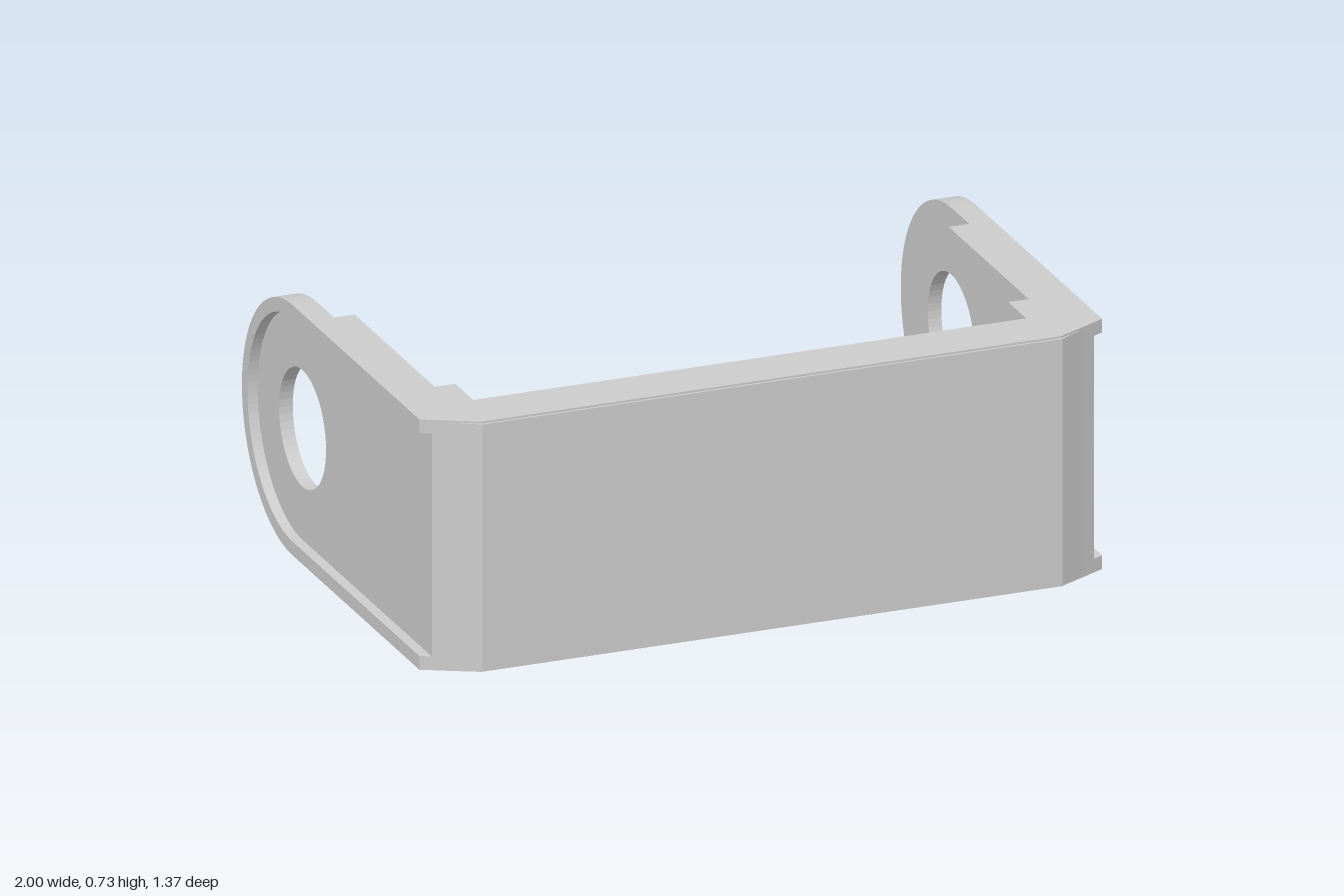
import * as THREE from 'three';

const H = 0.73, MID = H / 2, RIM = 0.04; // height, mid height, rim width
const PIVOT = 0.32;                      // pivot distance behind the centre
const JOIN = 0.52;                       // z where arms meet the front plate

export function createModel() {
  const group = new THREE.Group();
  const material = new THREE.MeshStandardMaterial({ color: 0xcccccc });

  const add = (name, geometry) => {
    const mesh = new THREE.Mesh(geometry, material);
    mesh.name = name;
    group.add(mesh);
  };
  const extrude = (shape, depth) =>
    new THREE.ExtrudeGeometry(shape, { depth, bevelEnabled: false, curveSegments: 24 });

  // Plan outline given as [x, z] for the +x half, mirrored and raised from y0 to y1
  const slab = (name, half, y0, y1) => {
    const mirrored = half.map(([x, z]) => [-x, z]).reverse();
    const pts = [...half, ...mirrored].map(([x, z]) => new THREE.Vector2(x, -z));
    add(name, extrude(new THREE.Shape(pts), y1 - y0).rotateX(-Math.PI / 2).translate(0, y0, 0));
  };

  // Side outline drawn in (-z, y), extruded from x0 to x1 on both sides
  const arms = (name, shape, x0, x1) => {
    for (const [side, start] of [['left', x0], ['right', -x1]]) {
      add(side + name, extrude(shape, x1 - x0).rotateY(Math.PI / 2).translate(start, 0, 0));
    }
  };

  // Front plate: top and bottom rims, and the recessed middle band
  const rim = [[1, JOIN], [1, 0.6], [0.93, 0.637], [0.85, 0.678]];
  slab('frontBottomRim', rim, 0, RIM);
  slab('frontTopRim', rim, H - RIM, H);
  slab('frontPanel', [
    [0.81, 0.63], [0.81, JOIN], [0.97, JOIN], [0.97, 0.616], [0.93, 0.637], [0.85, 0.678],
  ], RIM, H - RIM);
  // Slightly inset outer skin
  slab('frontSkin', [[0.93, 0.637], [0.85, 0.685]], 0.006, H - 0.006);

  // Arm web with rounded end and pivot hole
  const web = new THREE.Shape();
  web.moveTo(-JOIN, 0);
  web.lineTo(PIVOT, 0);
  web.absarc(PIVOT, MID, MID, -Math.PI / 2, Math.PI / 2, false);
  web.lineTo(-JOIN, H);
  web.holes.push(new THREE.Path().absarc(PIVOT, MID, 0.17, 0, Math.PI * 2, true));
  arms('ArmWeb', web, 0.93, 0.97);

  // Raised outer rim running around the arm
  const edge = new THREE.Shape();
  edge.moveTo(-JOIN, 0);
  edge.lineTo(PIVOT, 0);
  edge.absarc(PIVOT, MID, MID, -Math.PI / 2, Math.PI / 2, false);
  edge.lineTo(-JOIN, H);
  edge.lineTo(-JOIN, H - RIM);
  edge.lineTo(PIVOT, H - RIM);
  edge.absarc(PIVOT, MID, MID - RIM, Math.PI / 2, -Math.PI / 2, true);
  edge.lineTo(-JOIN, RIM);
  arms('ArmRim', edge, 0.97, 1);

  // Inner thickening, cut by an arc around the pivot and slotted at the corner
  const slot = 0.125, slotEnd = -0.39;
  const arcAngle = Math.atan2(MID, -0.13);
  const inner = new THREE.Shape();
  inner.moveTo(-JOIN, 0);
  inner.lineTo(PIVOT - 0.13, 0);
  inner.absarc(PIVOT, MID, Math.hypot(MID, 0.13), -arcAngle, arcAngle, true);
  inner.lineTo(-JOIN, H);
  inner.lineTo(-JOIN, H - slot);
  inner.lineTo(slotEnd, H - slot);
  inner.lineTo(slotEnd, slot);
  inner.lineTo(-JOIN, slot);
  arms('ArmInnerPad', inner, 0.87, 0.93);

  // Corner blocks above and below each slot
  for (const x of [0.84, -0.84]) {
    for (const y of [slot / 2, H - slot / 2]) {
      add('cornerBlock', new THREE.BoxGeometry(0.06, slot, 0.13).translate(x, y, 0.455));
    }
  }

  return group;
}
